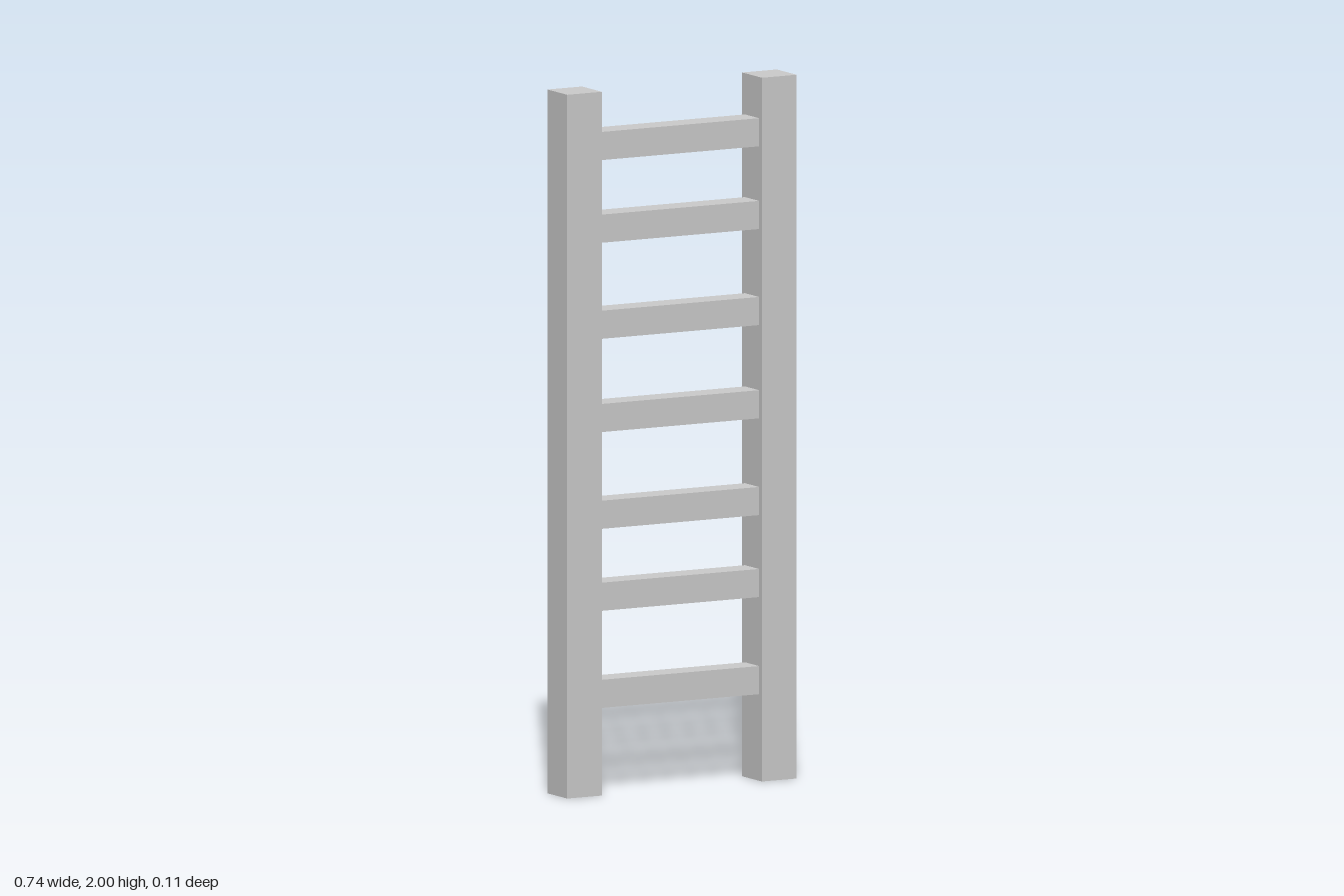
import * as THREE from 'three';

export function createModel() {
  const model = new THREE.Group();
  model.name = 'ladder';
  const material = new THREE.MeshStandardMaterial({ color: 0xcccccc, flatShading: true });

  const addBox = (name, [w, h, d], [x, y, z]) => {
    const mesh = new THREE.Mesh(new THREE.BoxGeometry(w, h, d), material);
    mesh.name = name;
    mesh.position.set(x, y, z);
    model.add(mesh);
  };

  const postWidth = 0.112;
  const postX = 0.315;
  const rungSize = 0.08;

  // Two square upright posts
  addBox('leftPost', [postWidth, 2, postWidth], [postX, 1, 0]);
  addBox('rightPost', [postWidth, 2, postWidth], [-postX, 1, 0]);

  // Square rungs, slightly uneven in spacing, butting against the posts
  const rungHeights = [0.286, 0.562, 0.795, 1.07, 1.335, 1.608, 1.843];
  const rungLength = 2 * postX - postWidth;
  rungHeights.forEach((y, i) => {
    addBox(`rung${i + 1}`, [rungLength, rungSize, rungSize], [0, y, 0]);
  });

  return model;
}
